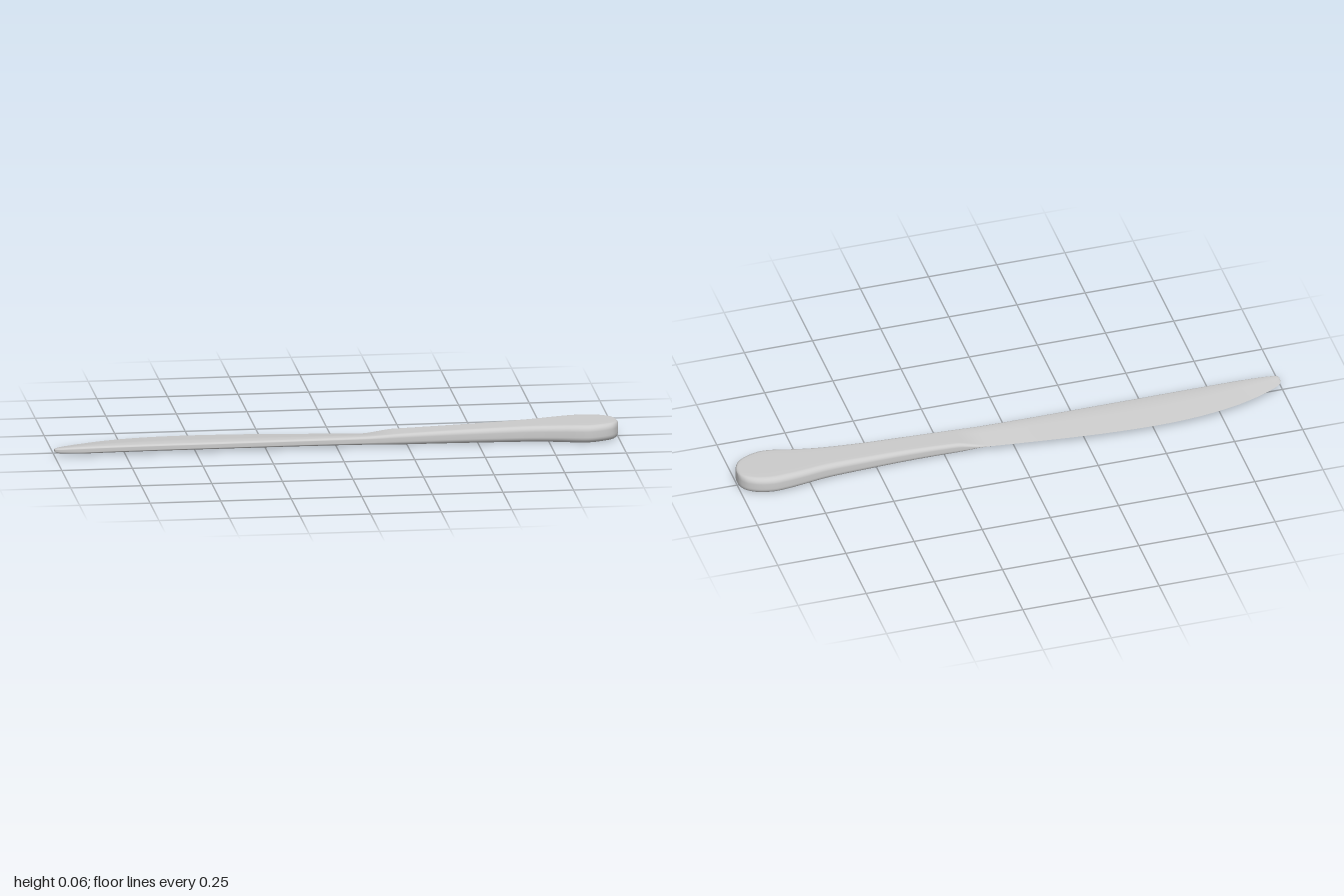
import * as THREE from 'three';

// Stations along the knife: x, back z, front z, bottom y, top y
const stations = [
  [-1, 0.022, 0.045, 0.017, 0.027], [-0.99, 0.006, 0.051, 0.013, 0.03], [-0.965, -0.012, 0.055, 0.011, 0.032],
  [-0.9, -0.042, 0.057, 0.008, 0.035], [-0.8, -0.075, 0.057, 0.008, 0.037], [-0.66, -0.1, 0.056, 0.008, 0.038],
  [-0.5, -0.108, 0.055, 0.008, 0.038], [-0.3, -0.1, 0.054, 0.008, 0.038], [-0.1, -0.081, 0.053, 0.008, 0.038],
  [0.08, -0.061, 0.053, 0.007, 0.039], [0.16, -0.051, 0.053, 0.006, 0.041], [0.22, -0.046, 0.053, 0.005, 0.044],
  [0.38, -0.046, 0.055, 0.004, 0.05], [0.54, -0.052, 0.059, 0.003, 0.055], [0.68, -0.061, 0.068, 0.003, 0.06],
  [0.78, -0.077, 0.084, 0.003, 0.063], [0.84, -0.085, 0.097, 0.002, 0.065], [0.89, -0.087, 0.102, 0.002, 0.065],
  [0.94, -0.077, 0.089, 0.003, 0.065], [0.975, -0.058, 0.069, 0.004, 0.064], [0.993, -0.036, 0.043, 0.007, 0.061],
  [1, -0.016, 0.02, 0.013, 0.055],
];

// Wedge: thick rounded spine at the front (u = 0), sharp edge at the back (u = 1)
function bladeThickness(u) {
  const k = 1 - Math.min(u / 0.2, 1);
  return u < 0.2 ? 0.4 + 0.6 * Math.sqrt(1 - k * k) : (1 - u) / 0.8;
}

// Upper half of one cross-section, front to back, as [z, half thickness]
function halfSection(zBack, zFront, half, handle) {
  const width = zFront - zBack;
  const r = Math.min(0.68 * half, 0.4 * width);
  const insets = [];
  for (let i = 0; i <= 5; i++) insets.push(r * (1 - Math.cos((i / 5) * Math.PI / 2)));
  const across = [
    ...insets,
    ...[0.2, 0.4, 0.6, 0.8].map((f) => r + f * (width - 2 * r)),
    ...insets.map((d) => width - d).reverse(),
  ];
  return across.map((d) => {
    const e = Math.max(0, r - Math.min(d, width - d));
    const rounded = half - r + Math.sqrt(Math.max(0, r * r - e * e));
    const wedge = half * bladeThickness(d / width);
    return [zFront - d, THREE.MathUtils.lerp(wedge, rounded, handle)];
  });
}

function knifeGeometry() {
  const outline = new THREE.CatmullRomCurve3(
    stations.map((s) => new THREE.Vector3(s[0], s[1], s[2])), false, 'catmullrom', 0.5);
  const heights = new THREE.CatmullRomCurve3(
    stations.map((s) => new THREE.Vector3(s[0], s[3], s[4])), false, 'catmullrom', 0.5);
  const steps = (stations.length - 1) * 5;
  const positions = [];
  const index = [];
  let ring = 0;

  for (let i = 0; i <= steps; i++) {
    const o = outline.getPoint(i / steps);
    const h = heights.getPoint(i / steps);
    const middle = (h.y + h.z) / 2;
    const handle = THREE.MathUtils.smoothstep(o.x, 0.08, 0.21);
    const upper = halfSection(o.y, o.z, (h.z - h.y) / 2, handle);
    for (const [z, t] of upper) positions.push(o.x, middle + t, z);
    for (const [z, t] of [...upper].reverse()) positions.push(o.x, middle - t, z);
    ring = upper.length * 2;
  }
  for (let i = 0; i < steps; i++) {
    for (let j = 0; j < ring; j++) {
      const a = i * ring + j;
      const b = i * ring + ((j + 1) % ring);
      index.push(a, a + ring, b, b, a + ring, b + ring);
    }
  }
  // Close the tip and the butt
  for (const [row, isButt] of [[0, false], [steps, true]]) {
    const s = stations[isButt ? stations.length - 1 : 0];
    const centre = positions.length / 3;
    positions.push(s[0], (s[3] + s[4]) / 2, (s[1] + s[2]) / 2);
    for (let j = 0; j < ring; j++) {
      const a = row * ring + j;
      const b = row * ring + ((j + 1) % ring);
      if (isButt) index.push(centre, b, a);
      else index.push(centre, a, b);
    }
  }
  const geometry = new THREE.BufferGeometry();
  geometry.setAttribute('position', new THREE.Float32BufferAttribute(positions, 3));
  geometry.setIndex(index);
  geometry.computeVertexNormals();
  return geometry;
}

export function createModel() {
  const group = new THREE.Group();
  group.name = 'knife';
  // Blade and handle flow into each other as one skin
  const knife = new THREE.Mesh(knifeGeometry(), new THREE.MeshStandardMaterial({ color: 0xcccccc }));
  knife.name = 'bladeAndHandle';
  group.add(knife);
  return group;
}
